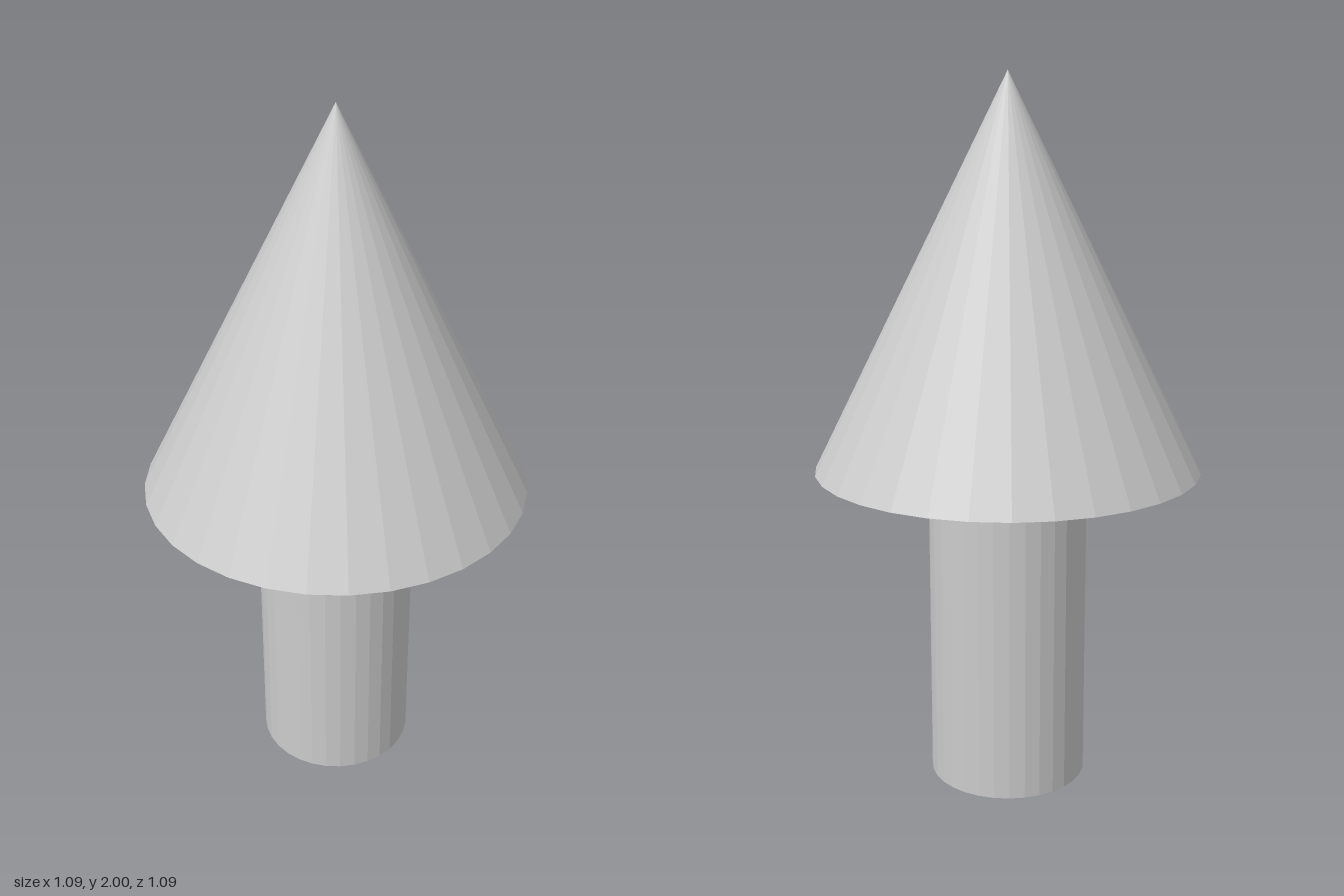
import * as THREE from 'three';

const SIDES = 32;
const BASE = 0.915; // height where the shaft meets the cone

export function createModel() {
  const group = new THREE.Group();
  const material = new THREE.MeshStandardMaterial({ color: 0xcccccc, flatShading: true });

  const add = (name, geometry, y) => {
    const mesh = new THREE.Mesh(geometry, material);
    mesh.name = name;
    mesh.position.y = y;
    group.add(mesh);
  };

  // Round shaft standing on the ground
  add('shaft', new THREE.CylinderGeometry(0.225, 0.225, BASE, SIDES), BASE / 2);

  // Pointed head with a closed underside
  add('coneHead', new THREE.ConeGeometry(0.543, 2 - BASE, SIDES), (2 + BASE) / 2);

  return group;
}
